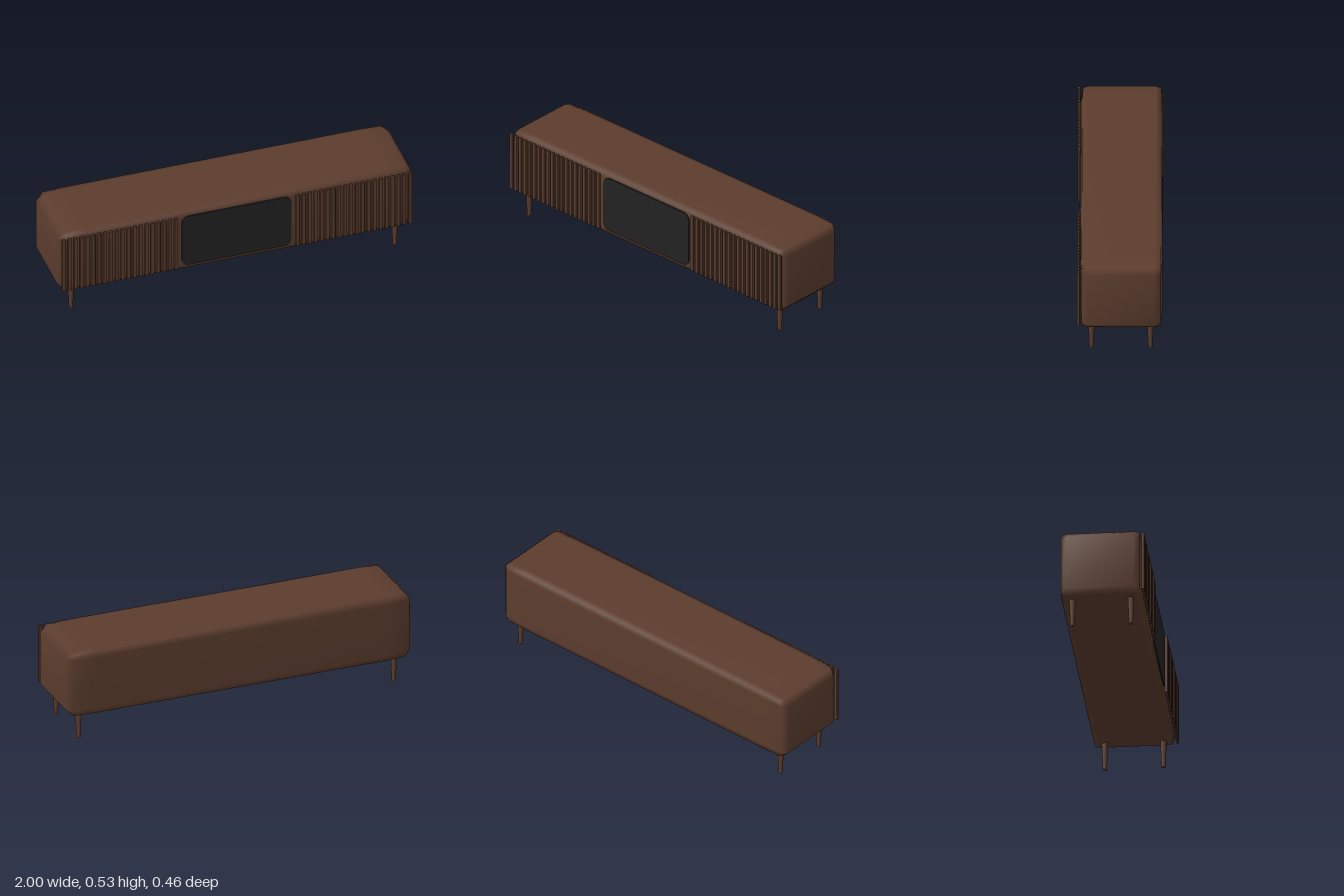
import * as THREE from 'three';
import { mergeVertices } from 'three/addons/utils/BufferGeometryUtils.js';
import { RoundedBoxGeometry } from 'three/addons/geometries/RoundedBoxGeometry.js';

const walnut = new THREE.MeshStandardMaterial({ color: 0x5c3d2e });
walnut.name = 'walnut';
const charcoal = new THREE.MeshStandardMaterial({ color: 0x222222 });
charcoal.name = 'charcoal';

// Box with softly pulled-in edges: each axis has grid lines [min, inner, inner, max]
function softBox(lines, inset) {
  let geo = new THREE.BoxGeometry(3, 3, 3, 3, 3, 3);
  geo.deleteAttribute('uv');
  geo.deleteAttribute('normal');
  geo = mergeVertices(geo);
  const pos = geo.attributes.position;
  for (let i = 0; i < pos.count; i++) {
    const step = [pos.getX(i), pos.getY(i), pos.getZ(i)].map((v) => Math.round(v + 1.5));
    const extremes = step.filter((s) => s === 0 || s === 3).length;
    const pull = extremes === 3 ? 1.4 : extremes === 2 ? 1 : 0;
    const p = step.map((s, a) =>
      lines[a][s] + (s === 0 ? 1 : s === 3 ? -1 : 0) * inset[a] * pull);
    pos.setXYZ(i, ...p);
  }
  geo.computeVertexNormals();
  return geo;
}

function roundedRect(w, h, r) {
  const s = new THREE.Shape();
  const x = w / 2, y = h / 2;
  s.absarc(x - r, y - r, r, 0, Math.PI / 2);
  s.absarc(-x + r, y - r, r, Math.PI / 2, Math.PI);
  s.absarc(-x + r, -y + r, r, Math.PI, Math.PI * 1.5);
  s.absarc(x - r, -y + r, r, Math.PI * 1.5, Math.PI * 2);
  s.closePath();
  return s;
}

export function createModel() {
  const model = new THREE.Group();
  model.name = 'mediaConsole';
  const add = (name, geo, mat, x, y, z) => {
    const mesh = new THREE.Mesh(geo, mat);
    mesh.name = name;
    mesh.position.set(x, y, z);
    model.add(mesh);
  };

  // Cabinet body
  const body = softBox([
    [-1, -0.85, 0.85, 1],
    [0.149, 0.187, 0.489, 0.527],
    [-0.229, -0.19, 0.172, 0.211],
  ], [0.03, 0.007, 0.007]);
  add('cabinetBody', body, walnut, 0, 0, 0);

  // Dark centre door
  const door = new THREE.ExtrudeGeometry(roundedRect(0.62, 0.32, 0.04), {
    depth: 0.008, bevelEnabled: false, curveSegments: 8,
  });
  add('centreDoor', door, charcoal, 0, 0.34, 0.209);

  // Fluted slats either side of the door
  const slat = new RoundedBoxGeometry(0.021, 0.337, 0.016, 1, 0.004);
  for (const side of [-1, 1]) {
    for (let i = 0; i < 20; i++) {
      add('slat', slat, walnut, side * (0.344 + i * 0.0334), 0.3385, 0.221);
    }
  }

  // Tapered legs
  const leg = new THREE.CylinderGeometry(0.0175, 0.011, 0.152, 12);
  for (const x of [-0.915, 0.915]) {
    for (const z of [-0.165, 0.151]) add('leg', leg, walnut, x, 0.076, z);
  }
  return model;
}
